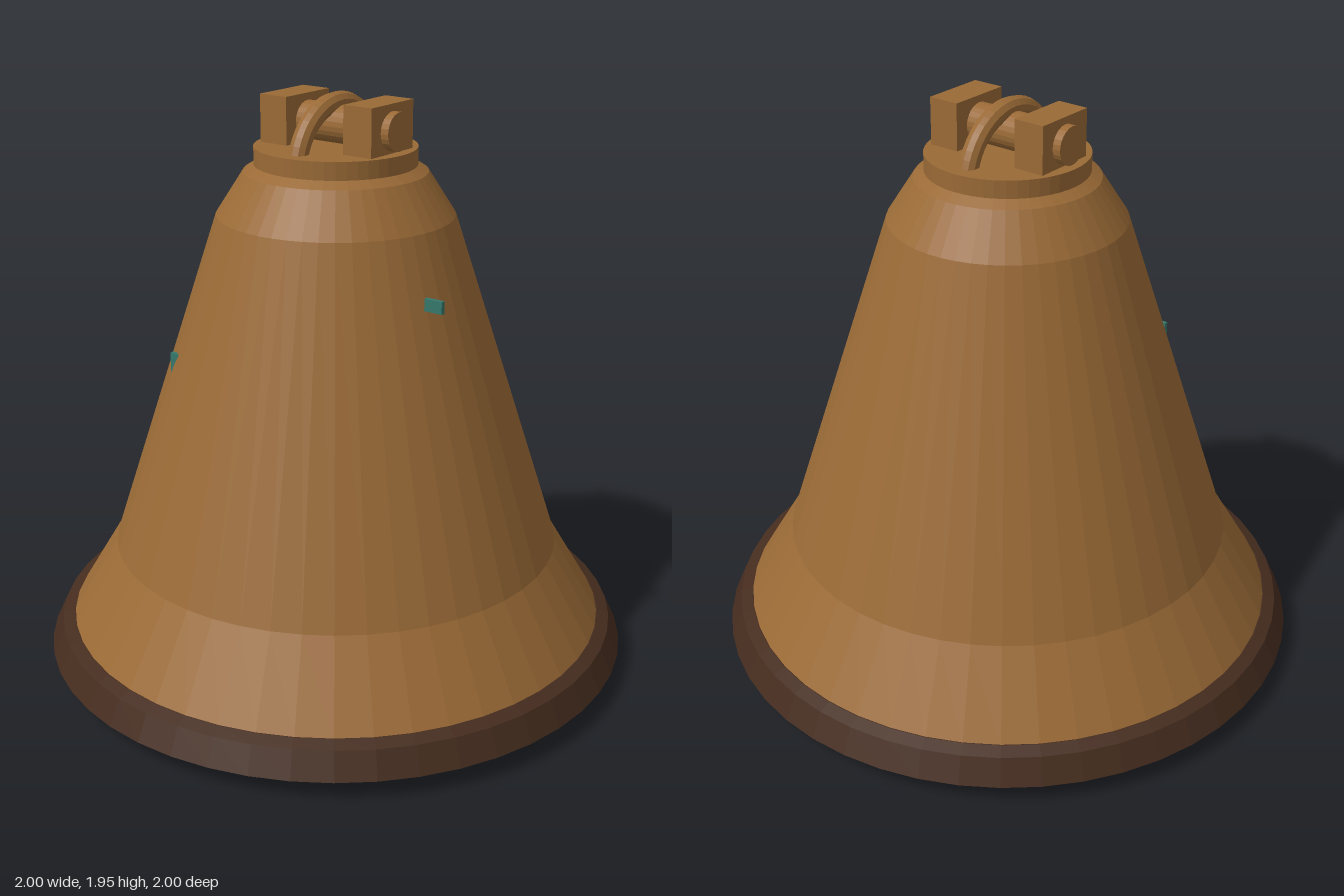
import * as THREE from 'three';

const material = (color) => new THREE.MeshStandardMaterial({ color, flatShading: true, side: THREE.DoubleSide });

export function createModel() {
  const model = new THREE.Group();
  model.name = 'bell';
  const bronze = material(0x9a6a36);
  const darkBronze = material(0x452c1e);
  const iron = material(0x222222);
  const verdigris = material(0x35786b);

  const add = (name, geometry, mat, x = 0, y = 0, z = 0, parent = model) => {
    const mesh = new THREE.Mesh(geometry, mat);
    mesh.name = name;
    mesh.position.set(x, y, z);
    parent.add(mesh);
    return mesh;
  };
  const lathe = (points) => new THREE.LatheGeometry(points.map(([r, y]) => new THREE.Vector2(r, y)), 48);

  // Hollow body, running down inside the rim
  add('body', lathe([[0.88, 0.005], [0.92, 0.165], [0.76, 0.43], [0.39, 1.56], [0.3, 1.7], [0.26, 1.725]]), bronze);

  // Dark bevelled rim with an inner lip
  add('rim', lathe([[0.88, 0], [1, 0.07], [0.96, 0.155], [0.92, 0.17], [0.8, 0.162]]), darkBronze);

  // Cap plate closing the top
  add('cap', new THREE.CylinderGeometry(0.265, 0.265, 0.06, 48), bronze, 0, 1.75, 0);

  // Hanger: two blocks, an axle and a loop
  const hanger = new THREE.Group();
  hanger.name = 'hanger';
  model.add(hanger);
  for (const side of [-1, 1]) {
    add('hangerBlock', new THREE.BoxGeometry(0.108, 0.16, 0.22), bronze, side * 0.168, 1.855, 0, hanger);
  }
  const axle = add('axle', new THREE.CylinderGeometry(0.062, 0.062, 0.5, 24), bronze, 0, 1.85, 0, hanger);
  axle.rotation.z = Math.PI / 2;
  const loop = add('loop', new THREE.TorusGeometry(0.198, 0.033, 10, 24, Math.PI), bronze, 0, 1.72, 0, hanger);
  loop.rotation.y = Math.PI / 2;

  // Clapper hanging inside
  add('clapper', new THREE.CylinderGeometry(0.167, 0.167, 0.45, 32), iron, 0, 0.445, 0);

  // Small patina flakes: position then size
  const flakes = [
    [0.483, 1.365, 0.133, 0.064, 0.04, 0.015],
    [-0.32, 1.085, 0.425, 0.06, 0.07, 0.015],
    [-0.62, 0.475, 0.285, 0.06, 0.05, 0.015],
  ];
  for (const [x, y, z, w, h, d] of flakes) {
    add('patinaFlake', new THREE.BoxGeometry(w, h, d), verdigris, x, y, z);
  }
  return model;
}
